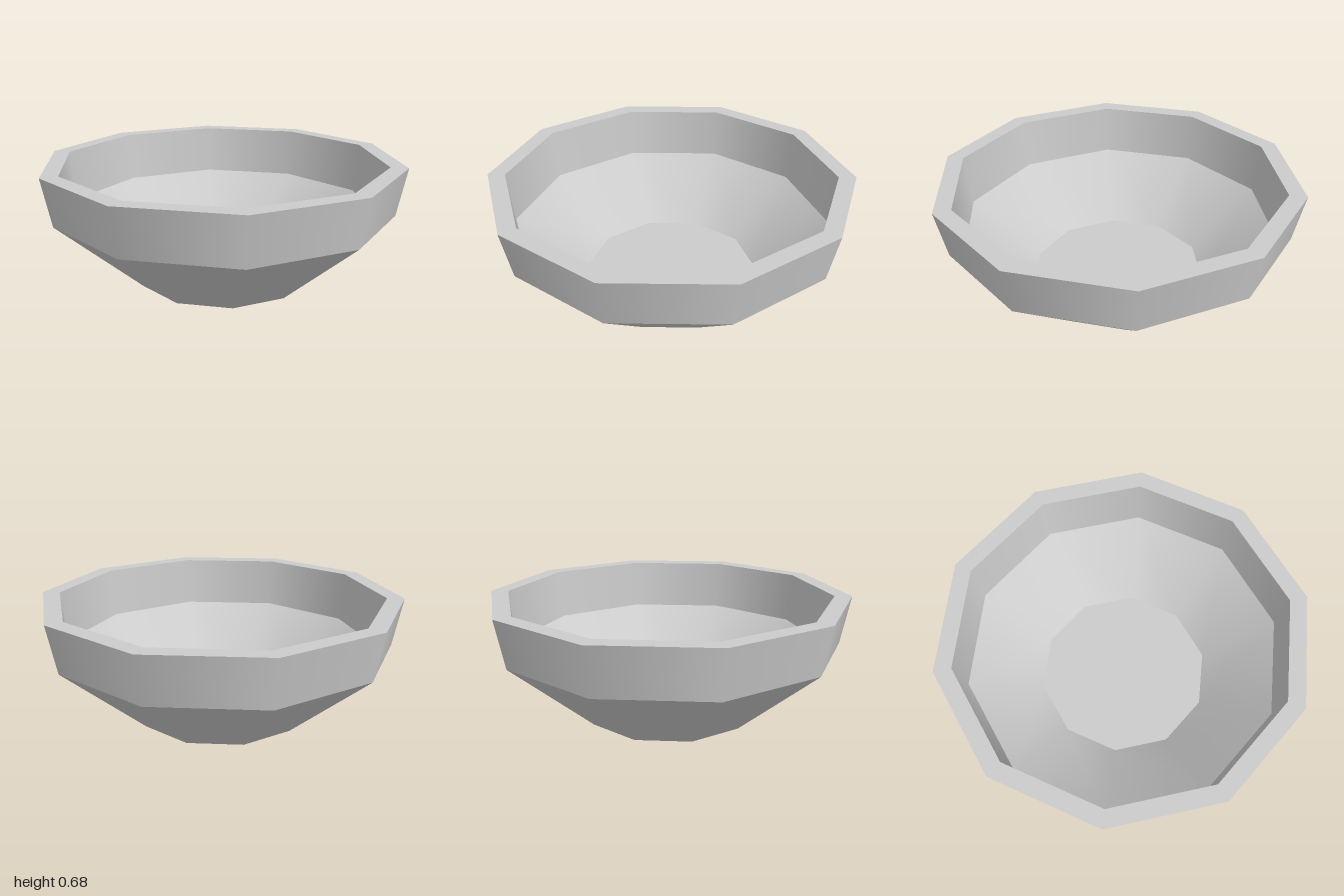
import * as THREE from 'three';

const SIDES = 10;

// Profile of the bowl [radius, height], from the base centre out, over the rim and back in
const profile = [
  [0, 0], [0.485, 0], [0.95, 0.41], [1, 0.675],
  [0.905, 0.675], [0.877, 0.393], [0.49, 0.073], [0, 0.073],
];
// One band between each pair of profile points
const bands = ['base', 'outerSlope', 'outerWall', 'rim', 'innerWall', 'innerSlope', 'floor'];

export function createModel() {
  const bowl = new THREE.Group();
  bowl.name = 'bowl';
  const material = new THREE.MeshStandardMaterial({ color: 0xcccccc });

  // Separate bands keep the ring edges sharp while shading smoothly around;
  // the start angle puts corners on the x axis
  bands.forEach((name, i) => {
    const points = [profile[i], profile[i + 1]].map(([r, y]) => new THREE.Vector2(r, y));
    const mesh = new THREE.Mesh(new THREE.LatheGeometry(points, SIDES, Math.PI / SIDES), material);
    mesh.name = name;
    bowl.add(mesh);
  });
  return bowl;
}
